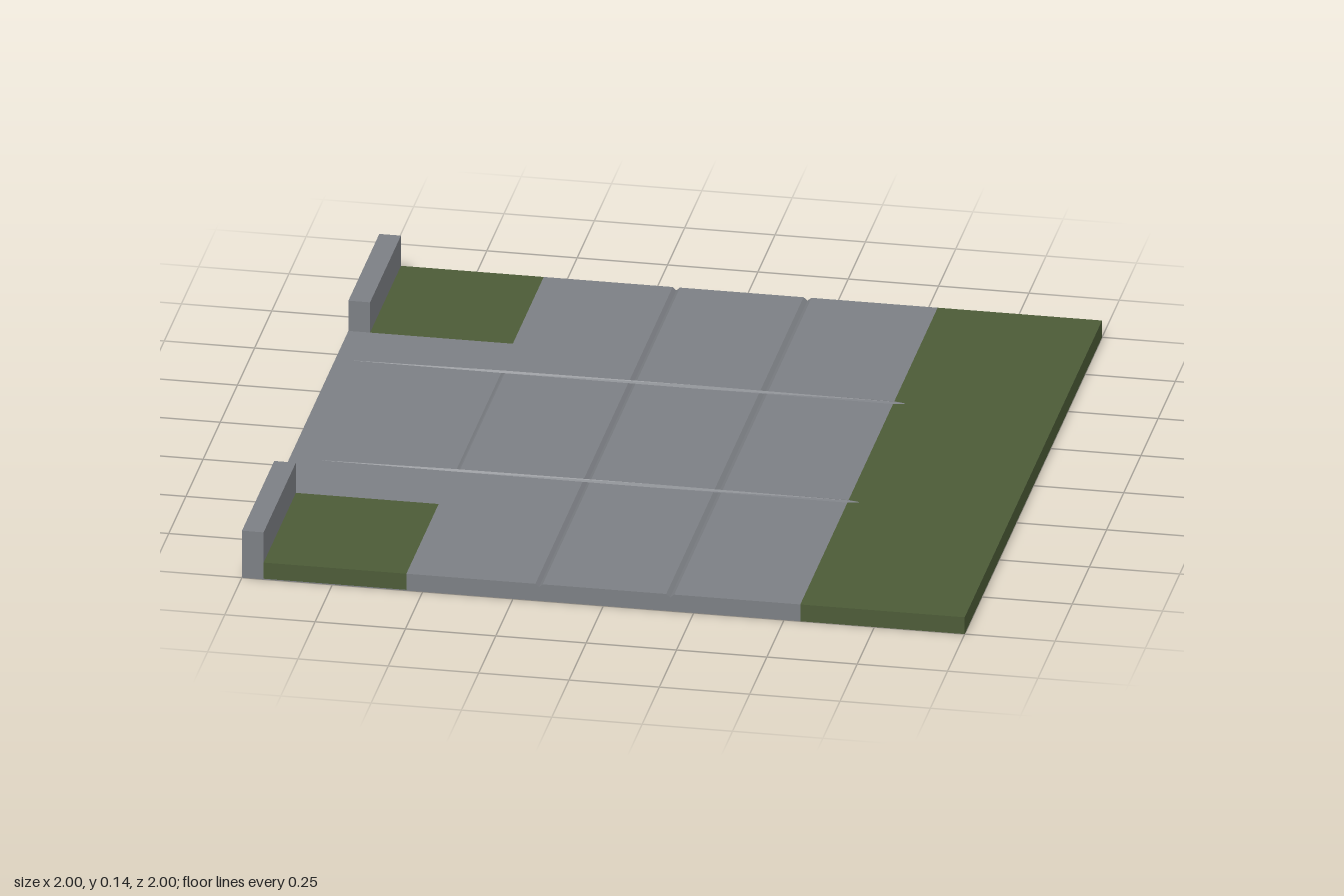
import * as THREE from 'three';

const stone = new THREE.MeshStandardMaterial({ color: 0x7c7f84 });
stone.name = 'stone grey';
const grass = new THREE.MeshStandardMaterial({ color: 0x4c5b37 });
grass.name = 'grass green';

const TOP = 0.05;    // ground level
const SKIN = 0.002;  // thickness of the underside plates

// Box given by its two opposite corners
function block(name, material, [x0, y0, z0], [x1, y1, z1]) {
  const geometry = new THREE.BoxGeometry(x1 - x0, y1 - y0, z1 - z0);
  geometry.translate((x0 + x1) / 2, (y0 + y1) / 2, (z0 + z1) / 2);
  const mesh = new THREE.Mesh(geometry, material);
  mesh.name = name;
  return mesh;
}

// Paving with V-shaped joints across its top, swept from back to front
function paving(name, x0, x1, z0, z1, joints) {
  const shape = new THREE.Shape();
  shape.moveTo(x0, 0);
  shape.lineTo(x1, 0);
  shape.lineTo(x1, TOP);
  for (const [x, halfWidth, depth] of joints) {
    shape.lineTo(x + halfWidth, TOP);
    shape.lineTo(x, TOP - depth);
    shape.lineTo(x - halfWidth, TOP);
  }
  shape.lineTo(x0, TOP);
  const geometry = new THREE.ExtrudeGeometry(shape, { depth: z1 - z0, bevelEnabled: false });
  geometry.translate(0, 0, z0);
  const mesh = new THREE.Mesh(geometry, stone);
  mesh.name = name;
  return mesh;
}

// Low triangular ridge along x; sections are [x, half width, height]
function ridge(name, z, sections) {
  const positions = [];
  const ring = ([x, w, h]) => [[x, TOP, z - w], [x, TOP + h, z], [x, TOP, z + w]];
  for (let i = 0; i < sections.length - 1; i++) {
    const [a, t, b] = ring(sections[i]);
    const [a2, t2, b2] = ring(sections[i + 1]);
    positions.push(...[b, b2, t2, b, t2, t, a, t, t2, a, t2, a2].flat());
  }
  const geometry = new THREE.BufferGeometry();
  geometry.setAttribute('position', new THREE.Float32BufferAttribute(positions, 3));
  geometry.computeVertexNormals();
  const mesh = new THREE.Mesh(geometry, stone);
  mesh.name = name;
  return mesh;
}

export function createModel() {
  const model = new THREE.Group();
  model.name = 'pavedGround';

  // Main paving: the middle run has one more joint than the ends
  const long = [[0.185, 0.011, 0.009], [-0.178, 0.01, 0.009]];
  const runs = [['back', -1, -0.36], ['middle', -0.36, 0.305], ['front', 0.305, 1]];
  for (const [end, z0, z1] of runs) {
    const joints = end === 'middle' ? [...long, [-0.535, 0.005, 0.004]] : long;
    model.add(paving(end + 'Paving', -0.545, 0.545, z0, z1, joints));
  }

  // Entrance paving between the walls
  model.add(block('entrancePaving', stone, [-1, 0, -0.55], [-0.545, TOP, 0.53]));

  // Raised joints running across the paving
  for (const [name, z, start] of [['backRidge', -0.36, -0.95], ['frontRidge', 0.305, -0.91]]) {
    model.add(ridge(name, z, [
      [start, 0.001, 0.0005], [-0.54, 0.006, 0.005], [0, 0.009, 0.006],
      [0.545, 0.009, 0.003], [0.575, 0.002, 0.0005],
    ]));
  }

  // Grass strip and the two corner lawns
  model.add(block('grassStrip', grass, [0.545, 0, -1], [1, TOP, 1]));
  model.add(block('backLawn', grass, [-0.94, SKIN, -1], [-0.545, TOP, -0.55]));
  model.add(block('frontLawn', grass, [-0.94, SKIN, 0.53], [-0.545, TOP, 1]));

  // Undersides of the corners
  model.add(block('backCornerUnderside', grass, [-1, 0, -1], [-0.545, SKIN, -0.55]));
  model.add(block('frontCornerUnderside', stone, [-1, 0, 0.53], [-0.545, SKIN, 1]));

  // Low walls beside the entrance
  model.add(block('backWall', stone, [-1, SKIN, -1], [-0.94, 0.14, -0.55]));
  model.add(block('frontWall', stone, [-1, SKIN, 0.53], [-0.94, 0.14, 1]));

  return model;
}
